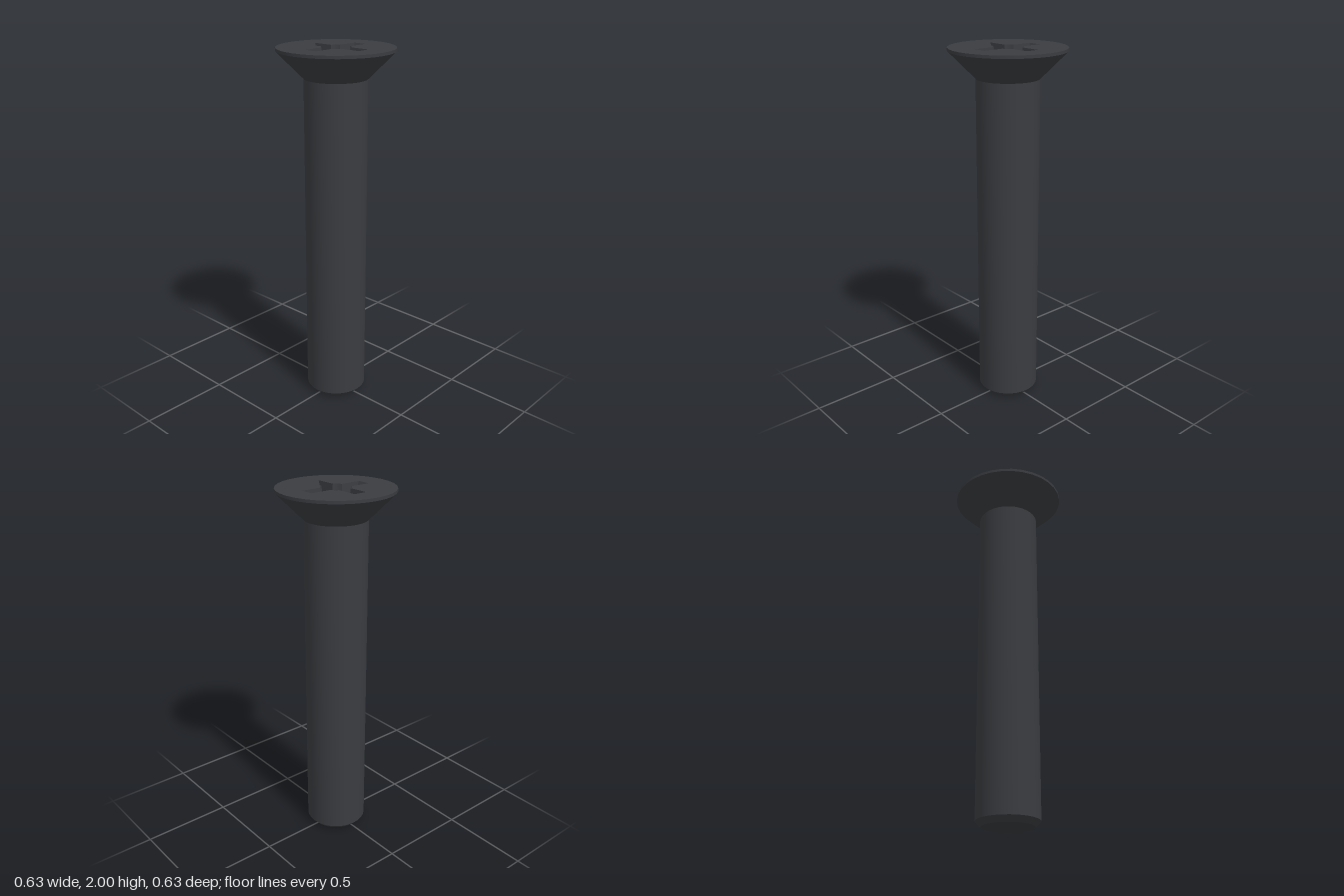
import * as THREE from 'three';
import { toCreasedNormals } from 'three/addons/utils/BufferGeometryUtils.js';

const SIDES = 32;
const HEAD_R = 0.314, TOP = 2, FLOOR = 1.866;
const CORE_R = 0.068, SLOT_HALF = 0.023, SLOT_LEN = 0.121;

// Counter-clockwise outline of a cross with a round core: four arms joined by arcs
function crossOutline(half, length, radius, arcSteps = 6) {
  const points = [];
  const edge = Math.asin(half / radius);
  for (let arm = 0; arm < 4; arm++) {
    const turn = arm * Math.PI / 2;
    const origin = new THREE.Vector2();
    points.push(new THREE.Vector2(length, -half).rotateAround(origin, turn));
    points.push(new THREE.Vector2(length, half).rotateAround(origin, turn));
    for (let i = 0; i <= arcSteps; i++) {
      const a = turn + edge + (Math.PI / 2 - 2 * edge) * i / arcSteps;
      points.push(new THREE.Vector2(Math.cos(a), Math.sin(a)).multiplyScalar(radius));
    }
  }
  return points;
}

// Inward-facing walls between two matching outlines
function recessWalls(upper, lower) {
  const positions = [];
  const put = (p, y) => positions.push(p.x, y, -p.y);
  upper.forEach((a, i) => {
    const j = (i + 1) % upper.length;
    put(a, TOP); put(upper[j], TOP); put(lower[j], FLOOR);
    put(a, TOP); put(lower[j], FLOOR); put(lower[i], FLOOR);
  });
  const geometry = new THREE.BufferGeometry();
  geometry.setAttribute('position', new THREE.Float32BufferAttribute(positions, 3));
  geometry.computeVertexNormals();
  return toCreasedNormals(geometry, Math.PI / 7);
}

function lathe(profile) {
  const points = profile.map(([r, y]) => new THREE.Vector2(r, y));
  return toCreasedNormals(new THREE.LatheGeometry(points, SIDES), Math.PI / 6);
}

export function createModel() {
  const model = new THREE.Group();
  model.name = 'countersunkScrew';
  const material = new THREE.MeshStandardMaterial({ color: 0x3a3c40 });
  const add = (name, geometry, parent = model) => {
    const mesh = new THREE.Mesh(geometry, material);
    mesh.name = name;
    parent.add(mesh);
    return mesh;
  };

  // Shank with a chamfered tip
  add('shank', lathe([[0, 0], [0.14, 0], [0.17, 0.03], [0.17, 1.84]]));

  // Conical head with a thin straight rim
  add('head', lathe([[0.17, 1.84], [HEAD_R, 1.984], [HEAD_R, TOP]]));

  // Flat top face pierced by the cross
  const upper = crossOutline(0.0375, 0.187, 0.08);
  const lower = crossOutline(SLOT_HALF, SLOT_LEN, CORE_R);
  const rim = [];
  for (let i = 0; i < SIDES; i++) {
    const a = i / SIDES * Math.PI * 2;
    rim.push(new THREE.Vector2(Math.cos(a) * HEAD_R, Math.sin(a) * HEAD_R));
  }
  const face = new THREE.Shape(rim);
  face.holes.push(new THREE.Path(upper));
  add('headFace', new THREE.ShapeGeometry(face).rotateX(-Math.PI / 2).translate(0, TOP, 0));

  // Drive recess: tapered walls, four slot floors and a shallow conical centre
  const recess = new THREE.Group();
  recess.name = 'driveRecess';
  model.add(recess);
  add('recessWalls', recessWalls(upper, lower), recess);

  const edge = Math.asin(SLOT_HALF / CORE_R);
  const slot = new THREE.Shape();
  slot.moveTo(CORE_R * Math.cos(edge), -SLOT_HALF);
  slot.lineTo(SLOT_LEN, -SLOT_HALF);
  slot.lineTo(SLOT_LEN, SLOT_HALF);
  slot.lineTo(CORE_R * Math.cos(edge), SLOT_HALF);
  slot.absarc(0, 0, CORE_R, edge, -edge, true);
  const slotFloor = new THREE.ShapeGeometry(slot, 6).rotateX(-Math.PI / 2);
  for (let arm = 0; arm < 4; arm++) {
    const mesh = add('slotFloor', slotFloor, recess);
    mesh.position.y = FLOOR;
    mesh.rotation.y = arm * Math.PI / 2;
  }
  add('recessCentre', lathe([[CORE_R, FLOOR], [0, FLOOR - 0.02]]), recess);

  return model;
}
